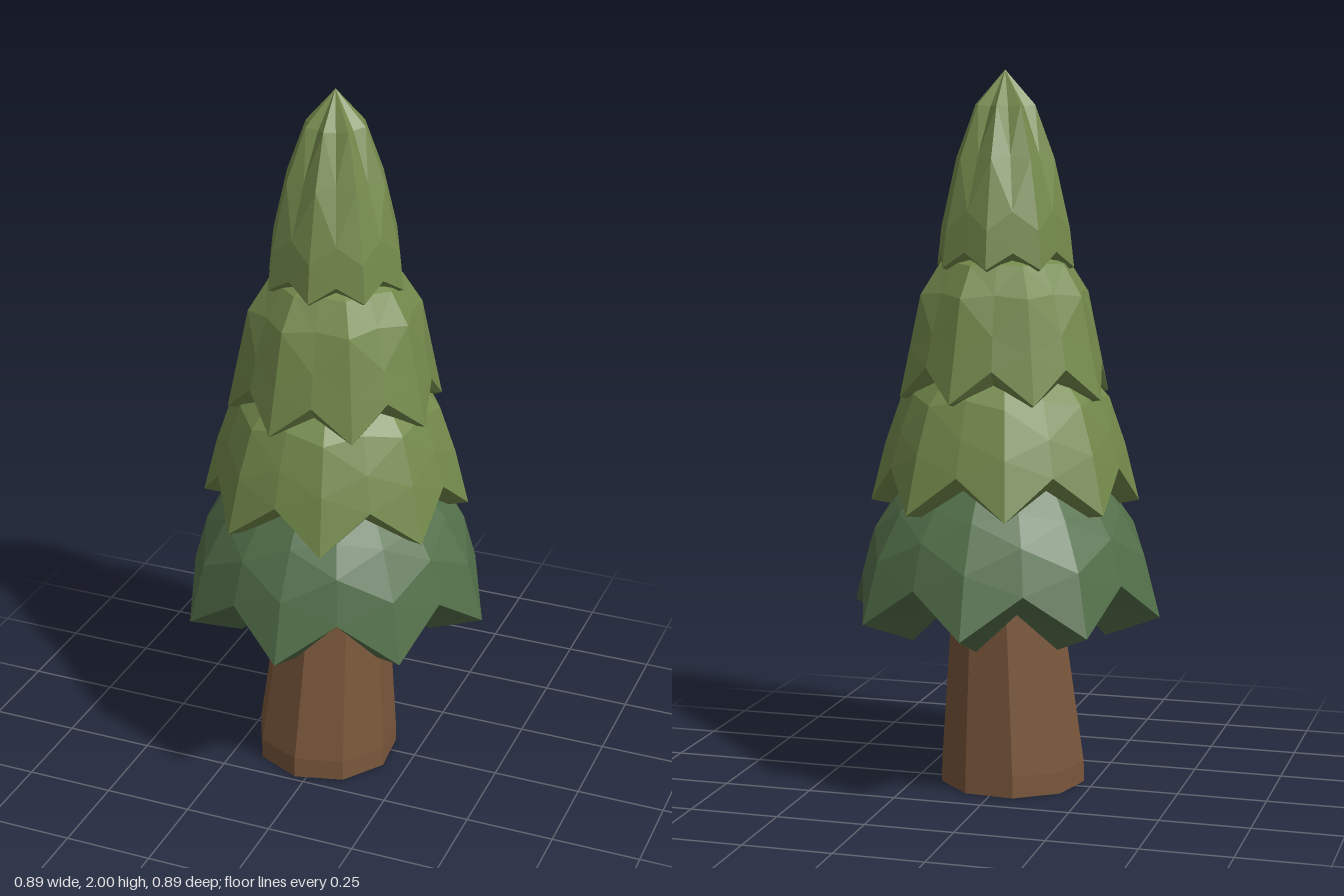
import * as THREE from 'three';

const mat = (name, color, side = THREE.FrontSide) => {
  const m = new THREE.MeshStandardMaterial({ color, flatShading: true, side });
  m.name = name;
  return m;
};

// Skin a stack of rings; each ring is an array of [x, y, z] points
function skin(rings) {
  const pos = [], n = rings[0].length;
  for (let i = 0; i < rings.length - 1; i++) {
    for (let j = 0; j < n; j++) {
      const k = (j + 1) % n;
      const a = rings[i][j], b = rings[i][k], c = rings[i + 1][k], d = rings[i + 1][j];
      // Mirror the diagonal on every other panel so each pleat is symmetric
      const tris = j % 2 ? [a, d, c, a, c, b] : [a, d, b, d, c, b];
      for (const p of tris) pos.push(...p);
    }
  }
  const geo = new THREE.BufferGeometry();
  geo.setAttribute('position', new THREE.Float32BufferAttribute(pos, 3));
  geo.computeVertexNormals();
  return geo;
}

// Pleated skirt of eight points; rows are [tipRadius, tipY, valleyRadius, valleyY]
function skirt(rows, turn) {
  return skin(rows.map(([tr, ty, vr, vy]) =>
    Array.from({ length: 16 }, (_, j) => {
      const a = THREE.MathUtils.degToRad(turn + j * 22.5);
      const r = j % 2 ? vr : tr;
      return [r * Math.cos(a), j % 2 ? vy : ty, r * Math.sin(a)];
    })));
}

export function createModel() {
  const tree = new THREE.Group();
  tree.name = 'pineTree';
  const bark = mat('bark brown', 0x7a573b, THREE.DoubleSide);
  const dark = mat('dark needle green', 0x53704a, THREE.DoubleSide);
  const light = mat('light needle green', 0x748a4c, THREE.DoubleSide);
  const add = (name, geo, material) => {
    const mesh = new THREE.Mesh(geo, material);
    mesh.name = name;
    tree.add(mesh);
  };

  // Nine-sided trunk, open below, leaning slightly: [y, radius, centreX, centreZ]
  const trunk = [[0, 0.205, -0.015, 0.03], [0.06, 0.204, -0.015, 0.03],
    [0.55, 0.153, -0.003, 0.003], [0.7, 0.14, 0, 0]];
  add('trunk', skin(trunk.map(([y, r, cx, cz]) =>
    Array.from({ length: 9 }, (_, j) => {
      const a = THREE.MathUtils.degToRad(15 + j * 40);
      return [cx + r * Math.cos(a), y, cz + r * Math.sin(a)];
    }))), bark);

  // Foliage tiers, each running from underside to lip, rim and crown
  add('lowestTier', skirt([
    [0.12, 0.62, 0.12, 0.64], [0.29, 0.44, 0.27, 0.54], [0.445, 0.5, 0.4, 0.615],
    [0.4, 0.67, 0.365, 0.74], [0.33, 0.8, 0.31, 0.82], [0.26, 0.89, 0.25, 0.9],
    [0.12, 1, 0.12, 1],
  ], 0), dark);

  add('lowerMiddleTier', skirt([
    [0.22, 0.9, 0.22, 0.92], [0.32, 0.8, 0.29, 0.88], [0.375, 0.81, 0.338, 0.92],
    [0.335, 0.97, 0.31, 1.02], [0.29, 1.1, 0.27, 1.12], [0.22, 1.18, 0.21, 1.19],
    [0.1, 1.25, 0.1, 1.25],
  ], 29.5), light);

  add('upperMiddleTier', skirt([
    [0.18, 1.18, 0.18, 1.2], [0.255, 1.1, 0.235, 1.16], [0.3, 1.11, 0.27, 1.2],
    [0.272, 1.24, 0.25, 1.29], [0.24, 1.39, 0.215, 1.4], [0.185, 1.475, 0.17, 1.48],
    [0.08, 1.53, 0.08, 1.53],
  ], 14.5), light);

  add('topTier', skirt([
    [0.12, 1.52, 0.12, 1.53], [0.17, 1.455, 0.155, 1.49], [0.196, 1.465, 0.177, 1.51],
    [0.184, 1.57, 0.165, 1.62], [0.14, 1.76, 0.118, 1.77], [0.085, 1.905, 0.065, 1.9],
    [0, 2, 0, 2],
  ], 0), light);

  return tree;
}
